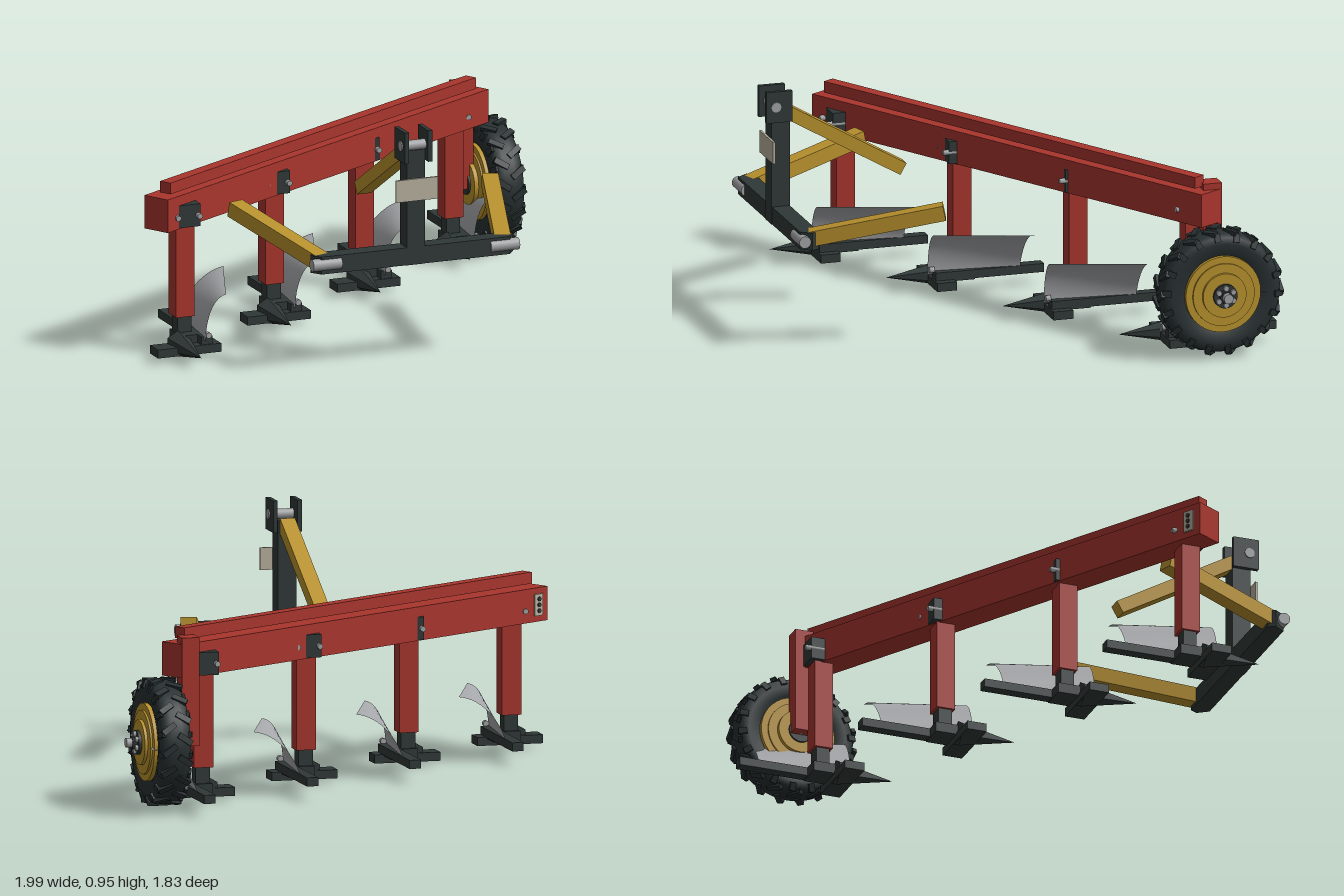
import * as THREE from 'three';

const mat = (name, color, side = THREE.FrontSide) => {
  const m = new THREE.MeshStandardMaterial({ color, side });
  m.name = name;
  return m;
};

export function createModel() {
  const red = mat('red paint', 0xa8352d);
  const yellow = mat('yellow paint', 0xb9922e);
  const dark = mat('dark iron', 0x2f3837);
  const rubber = mat('tyre rubber', 0x283031);
  const steel = mat('steel', 0xa2a3a5);
  const blade = mat('polished blade', 0xa6a7aa, THREE.DoubleSide);
  const beige = mat('beige plate', 0xb8b09e);

  const root = new THREE.Group();
  root.name = 'plough';

  const add = (parent, name, geo, material, x = 0, y = 0, z = 0) => {
    const m = new THREE.Mesh(geo, material);
    m.name = name;
    m.position.set(x, y, z);
    parent.add(m);
    return m;
  };
  const group = (name, x, y, z) => {
    const g = new THREE.Group();
    g.name = name;
    g.position.set(x, y, z);
    root.add(g);
    return g;
  };
  const box = (w, h, d) => new THREE.BoxGeometry(w, h, d);
  const rodX = (r, len, sides = 20) => new THREE.CylinderGeometry(r, r, len, sides).rotateZ(-Math.PI / 2);
  const rodZ = (r, len, sides = 10) => new THREE.CylinderGeometry(r, r, len, sides).rotateX(Math.PI / 2);
  // square bar between two points
  const bar = (name, a, b, w, h, material) => {
    const p = new THREE.Vector3(...a), q = new THREE.Vector3(...b);
    const m = add(root, name, box(w, h, p.distanceTo(q)), material);
    m.position.copy(p).add(q).multiplyScalar(0.5);
    m.lookAt(q);
    return m;
  };

  // diagonal main beam with its top rail and end plate
  const beam = group('mainBeam', -0.077, 0, -0.125);
  beam.rotation.y = Math.PI / 6;
  add(beam, 'beam', box(2.04, 0.133, 0.115), red, 0, 0.583, 0);
  add(beam, 'topRail', box(1.945, 0.045, 0.05), red, -0.005, 0.682, 0.012);
  add(beam, 'endPlate', box(0.045, 0.085, 0.008), beige, -0.965, 0.583, -0.061);
  for (const y of [0.56, 0.583, 0.606]) {
    add(beam, 'endPlateBolt', rodZ(0.009, 0.012), dark, -0.965, y, -0.063);
  }

  // curved mouldboard: a grid rolled outwards, more so towards the rear
  const boardGeo = new THREE.PlaneGeometry(1, 1, 14, 14);
  const pos = boardGeo.attributes.position;
  for (let i = 0; i < pos.count; i++) {
    const u = pos.getX(i) + 0.5, v = pos.getY(i) + 0.5;
    const foot = 0.042 + 0.035 * u;
    const roll = (0.085 + 0.105 * u) * Math.pow(v, 1.9 - 0.5 * u);
    pos.setXYZ(i, foot + roll, 0.08 + 0.185 * Math.sin(v * 1.45) / Math.sin(1.45) * (0.97 + 0.03 * u), 0.142 - 0.365 * u);
  }
  boardGeo.computeVertexNormals();

  // hexagonal point, corner up
  const pointGeo = new THREE.ConeGeometry(0.052, 0.235, 6).toNonIndexed();
  pointGeo.rotateX(Math.PI / 2);
  pointGeo.computeVertexNormals();

  // four plough bodies
  for (let i = 0; i < 4; i++) {
    const g = group('ploughBody' + (i + 1), -0.835 + 0.505 * i, 0, 0.341 - 0.312 * i);
    add(g, 'shank', box(0.078, 0.37, 0.075), red, 0, 0.34, 0);
    add(g, 'shankFoot', box(0.058, 0.1, 0.055), dark, 0, 0.108, 0);
    add(g, 'clamp', box(0.11, 0.09, 0.116), dark, 0, 0.565, 0);
    for (const s of [-1, 1]) {
      add(g, 'clampBolt', rodZ(0.011, 0.16), steel, s * 0.045, 0.565, 0);
    }
    add(g, 'frog', box(0.11, 0.04, 0.12), dark, 0.02, 0.072, 0.02);
    add(g, 'landside', box(0.046, 0.034, 0.44), dark, 0.057, 0.075, -0.1);
    add(g, 'shareBar', box(0.265, 0.034, 0.08), dark, -0.018, 0.043, 0.085);
    add(g, 'sharePoint', pointGeo, dark, -0.036, 0.056, 0.168);
    add(g, 'mouldboard', boardGeo, blade);
    add(g, 'mouldboardBolt', rodZ(0.012, 0.02), steel, 0.057, 0.1, 0.13);
  }

  // post carrying the wheel
  add(root, 'wheelPost', box(0.07, 0.425, 0.075), red, 0.747, 0.4625, -0.648);

  // land wheel, built round y then turned onto x
  const wheel = group('landWheel', 0.858, 0.268, -0.645);
  wheel.rotation.z = -Math.PI / 2;
  const lathe = (name, pts, material) =>
    add(wheel, name, new THREE.LatheGeometry(pts.map((p) => new THREE.Vector2(...p)), 48), material);
  lathe('tyre', [
    [0.14, -0.045], [0.165, -0.058], [0.2, -0.063], [0.225, -0.058], [0.237, -0.045], [0.242, -0.02],
    [0.242, 0.02], [0.237, 0.045], [0.225, 0.058], [0.2, 0.063], [0.165, 0.058], [0.14, 0.045],
  ], rubber);
  const disc = (name, r, from, to, material, sides = 40) =>
    add(wheel, name, new THREE.CylinderGeometry(r, r, to - from, sides), material, 0, (from + to) / 2, 0);
  disc('rim', 0.152, -0.068, 0.068, yellow);
  disc('rimStep', 0.125, -0.075, 0.076, yellow);
  disc('rimCentre', 0.088, -0.092, 0.088, yellow);
  disc('hub', 0.048, -0.1, 0.1, dark, 24);
  disc('axle', 0.019, -0.11, 0.14, steel, 20);
  disc('axleNut', 0.027, 0.1, 0.118, dark, 6);
  for (let k = 0; k < 6; k++) {
    const a = (k * Math.PI) / 3;
    add(wheel, 'wheelNut', new THREE.CylinderGeometry(0.011, 0.011, 0.02, 8), steel,
      0.034 * Math.cos(a), 0.101, 0.034 * Math.sin(a));
  }
  // slanted tread lugs, staggered on either shoulder
  for (const s of [-1, 1]) {
    for (let k = 0; k < 18; k++) {
      const lug = new THREE.Group();
      lug.name = 'treadLug';
      lug.rotation.y = ((k + (s > 0 ? 0.5 : 0)) * Math.PI) / 9;
      const tread = add(lug, 'lugTread', box(0.016, 0.062, 0.024), rubber, 0.241, s * 0.031, 0);
      tread.rotation.x = s * 0.6;
      add(lug, 'lugShoulder', box(0.034, 0.012, 0.024), rubber, 0.225, s * 0.058, s * 0.018)
        .rotation.z = -s * 0.35;
      wheel.add(lug);
    }
  }

  // hitch frame: cross bar with chamfered front corners
  const cx = -0.077;
  const outline = new THREE.Shape([
    [-0.41, -0.81], [-0.425, -0.84], [-0.395, -0.882], [0.395, -0.882], [0.425, -0.84], [0.41, -0.81],
  ].map((p) => new THREE.Vector2(...p)));
  const crossGeo = new THREE.ExtrudeGeometry(outline, { depth: 0.07, bevelEnabled: false });
  crossGeo.rotateX(-Math.PI / 2);
  add(root, 'hitchCrossBar', crossGeo, dark, cx, 0.415, 0);
  add(root, 'mast', box(0.075, 0.46, 0.075), dark, cx, 0.645, 0.847);
  add(root, 'topLinkPin', rodX(0.02, 0.125), steel, cx, 0.893, 0.872);
  add(root, 'mastPlate', box(0.175, 0.088, 0.009), beige, cx, 0.717, 0.889);

  for (const s of [-1, 1]) {
    add(root, 'mastCheek', box(0.018, 0.125, 0.105), dark, cx + s * 0.049, 0.892, 0.858);
    add(root, 'lowerLinkPin', rodX(0.024, 0.12), steel, cx + s * 0.372, 0.452, 0.872);
    bar('sideBrace', [cx + s * 0.38, 0.455, 0.84], [cx + s * 0.535, 0.56, 0.34], 0.064, 0.06, yellow);
  }
  bar('centreBrace', [cx, 0.862, 0.82], [cx, 0.588, 0.345], 0.06, 0.052, yellow);

  return root;
}
